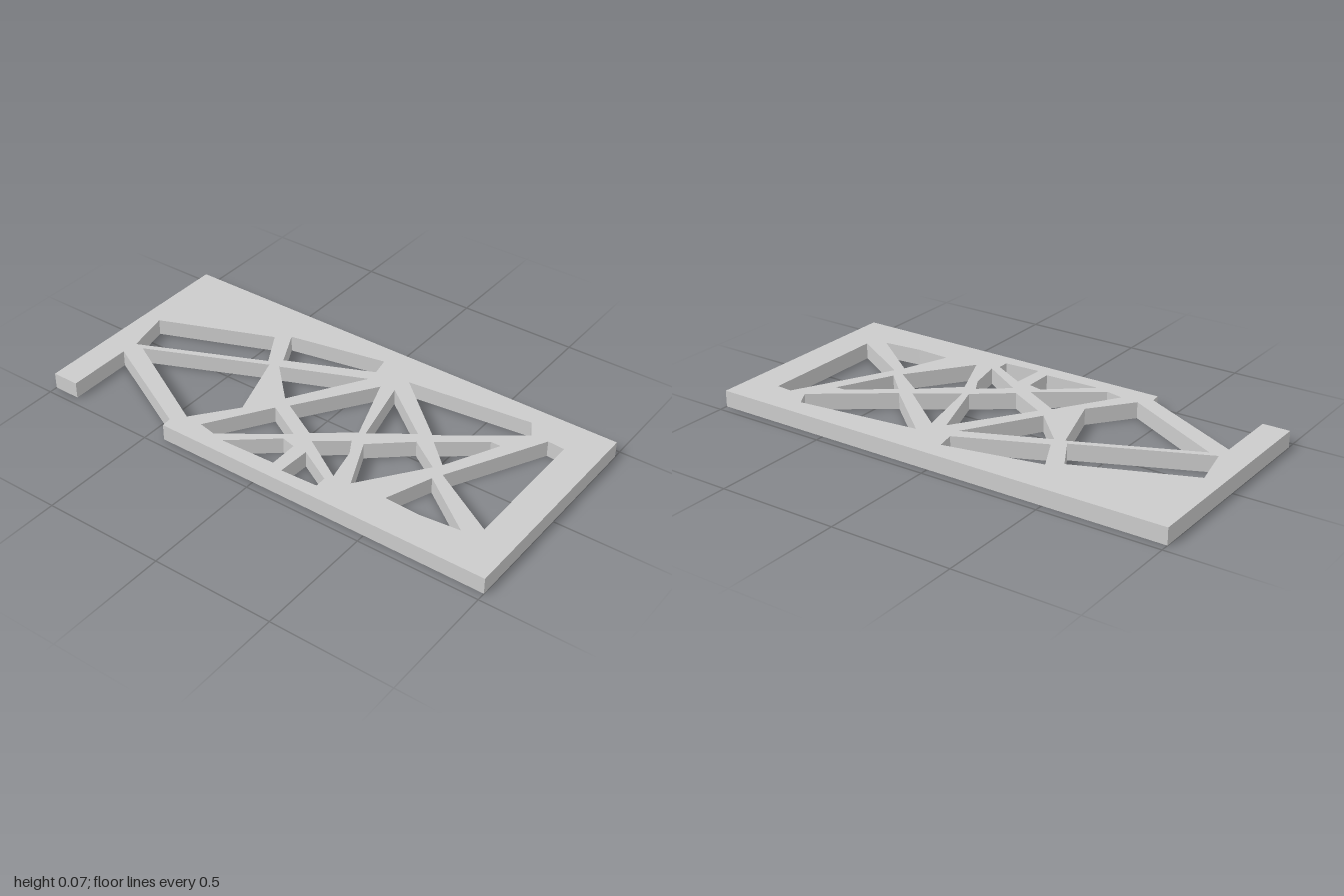
import * as THREE from 'three';

const THICKNESS = 0.068;

// Corners are [x, z] pairs on the ground plane, all listed clockwise from above.
const outline = [[-1, -0.464], [1, -0.464], [1, 0.464], [-0.433, 0.464], [-0.437, 0.421],
  [-0.887, 0.187], [-0.887, 0.464], [-1, 0.464]];

const openings = [
  // left bay
  [[-0.923, -0.07], [-0.46, -0.257], [-0.376, -0.107], [-0.882, 0.118]],
  [[-0.84, 0.125], [-0.356, -0.089], [-0.262, 0.198], [-0.396, 0.369]],
  // back row
  [[-0.406, -0.3], [0, -0.38], [0.016, -0.3], [-0.33, -0.147]],
  [[0.16, -0.321], [0.68, -0.38], [0.722, -0.31], [0.422, -0.091]],
  // middle, left of the struts' meeting point
  [[-0.316, -0.102], [0.018, -0.245], [-0.166, 0.053]],
  [[0.086, -0.23], [0.19, 0.06], [0.043, 0.173], [-0.123, 0.08]],
  [[-0.16, 0.123], [0, 0.214], [-0.246, 0.39], [-0.321, 0.374]],
  // small front openings
  [[-0.016, 0.258], [0.043, 0.272], [0.043, 0.395], [-0.193, 0.403]],
  [[0.102, 0.274], [0.25, 0.358], [0.25, 0.406], [0.095, 0.413]],
  [[0.08, 0.208], [0.198, 0.117], [0.235, 0.181], [0.267, 0.326]],
  // middle, right of the struts' meeting point
  [[0.144, -0.245], [0.374, -0.065], [0.214, 0.048]],
  [[0.246, 0.107], [0.396, -0.022], [0.529, 0.069], [0.342, 0.323]],
  [[0.449, -0.059], [0.62, -0.187], [0.663, -0.187], [0.551, 0.037]],
  // right bay
  [[0.791, -0.316], [0.861, -0.311], [0.864, 0.251], [0.583, 0.085]],
  [[0.562, 0.123], [0.802, 0.304], [0.636, 0.321], [0.49, 0.315]],
];

const toPoints = (corners) => corners.map(([x, z]) => new THREE.Vector2(x, -z));

export function createModel() {
  const group = new THREE.Group();
  group.name = 'trussPanel';

  // Flat panel with the strut pattern left between its openings;
  // openings run opposite to the outline so their walls face inward
  const shape = new THREE.Shape(toPoints(outline));
  shape.holes = openings.map((corners) => new THREE.Path(toPoints(corners).reverse()));
  const geometry = new THREE.ExtrudeGeometry(shape, { depth: THICKNESS, bevelEnabled: false });
  geometry.rotateX(-Math.PI / 2);

  const panel = new THREE.Mesh(geometry, new THREE.MeshStandardMaterial({ color: 0xcccccc, flatShading: true }));
  panel.name = 'latticePanel';
  group.add(panel);
  return group;
}
